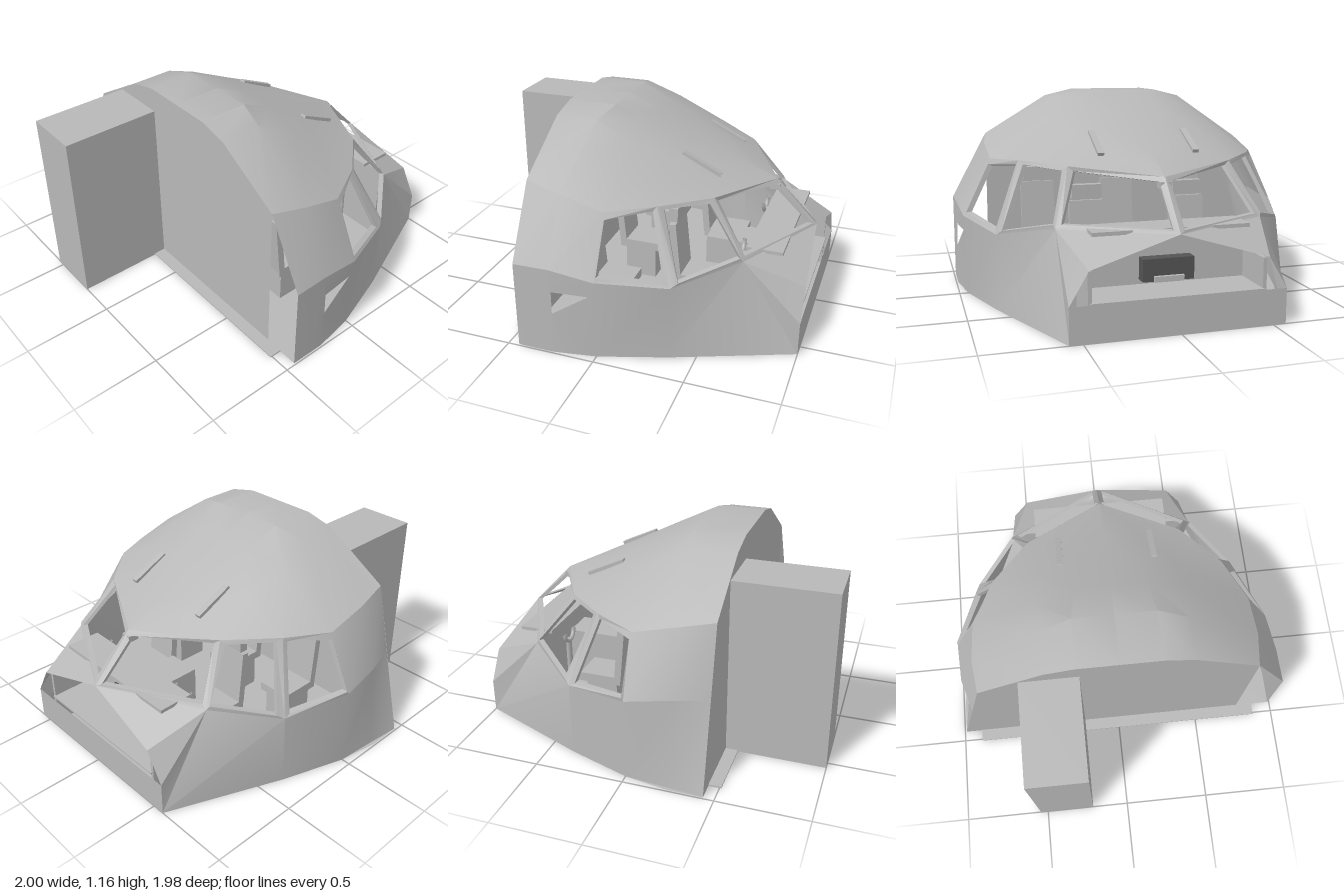
import * as THREE from 'three';
import { toCreasedNormals } from 'three/addons/utils/BufferGeometryUtils.js';

const mat = (name, color) => {
  const m = new THREE.MeshStandardMaterial({ color, side: THREE.DoubleSide });
  m.name = name;
  return m;
};

export function createModel() {
  const root = new THREE.Group();
  root.name = 'cockpitSection';
  const grey = mat('lightGrey', 0xb8b8b8);
  const dark = mat('darkGrey', 0x555555);

  const add = (name, geo, m = grey, parent = root) => {
    const mesh = new THREE.Mesh(geo, m);
    mesh.name = name;
    parent.add(mesh);
    return mesh;
  };
  const box = (name, x0, x1, y0, y1, z0, z1, m = grey, parent = root) => {
    const mesh = add(name, new THREE.BoxGeometry(x1 - x0, y1 - y0, z1 - z0), m, parent);
    mesh.position.set((x0 + x1) / 2, (y0 + y1) / 2, (z0 + z1) / 2);
    return mesh;
  };
  // surface from convex faces, corners counter-clockwise from outside
  const surface = (name, faces, crease = 0.45) => {
    const pos = [];
    for (const f of faces)
      for (let i = 1; i < f.length - 1; i++) pos.push(...f[0], ...f[i], ...f[i + 1]);
    const g = new THREE.BufferGeometry();
    g.setAttribute('position', new THREE.Float32BufferAttribute(pos, 3));
    g.computeVertexNormals();
    return add(name, toCreasedNormals(g, crease));
  };

  // skin rings for one half, rear to nose
  const base = [[-.44, 0, .99], [-.24, 0, .99], [0, 0, .95], [.36, 0, .83], [1, 0, .57]];
  const sill = [[-.44, .5, .99], [-.24, .5, .985], [0, .46, .965], [.365, .42, .825], [.68, .5, .565], [.97, .5, 0]];
  const brow = [[-.44, .89, .78], [-.24, .85, .81], [0, .785, .805], [.245, .8, .68], [.485, .79, .46], [.73, .75, 0]];
  const roof = [[-.44, 1.12, .4], [-.2, 1.12, .4], [0, 1.03, .44], [.2, .95, .38], [.4, .87, .25], [.73, .75, 0]];
  const crown = [[-.44, 1.16, .23], [-.16, 1.16, .23], [.05, 1.06, .2], [.25, .965, .15], [.45, .87, .1], [.73, .75, 0]];
  // window corners: bottom rear, bottom front, top front, top rear
  const windows = {
    2: [[.01, .48, .95], [.33, .435, .825], [.225, .775, .69], [.01, .75, .82]],
    3: [[.4, .445, .8], [.665, .52, .575], [.47, .765, .485], [.275, .78, .66]],
    4: [[.68, .52, .535], [.95, .515, .03], [.73, .725, .03], [.5, .765, .43]],
  };
  const inward = ([x, y, z]) => [x + (.1 - x) * .035, y + (.6 - y) * .035, z * .965];

  for (const s of [1, -1]) {
    const label = s > 0 ? 'Right' : 'Left';
    const orient = f => s > 0 ? f : f.map(([x, y, z]) => [x, y, -z]).reverse();
    const S = sill.map(p => [...p]), B = base.map(p => [...p]);
    if (s < 0) { // the far rear edge tapers straight upward
      S[0][2] = .87; S[1][2] = .93; S[2][2] = .95; B[1][2] = .97;
    }
    // lower side and nose hood
    const lower = [];
    for (let i = 0; i < 4; i++) {
      const [a, b, c, d] = [B[i], B[i + 1], S[i + 1], S[i]];
      if (i === 1 && s > 0) { // triangular cut-out
        const A = [-.23, .37, .985], E = [-.03, .37, .965], C = [-.23, .24, .987];
        lower.push([a, b, C], [b, E, C], [b, c, E], [c, A, E], [c, d, A], [d, a, C], [d, C, A]);
      } else lower.push([a, b, c, d]);
    }
    const n1 = [1, .19, .57], n2 = [1, .36, .47];
    lower.push([B[4], n1, S[4]], [n1, n2, S[4]], [n2, S[5], S[4]]);
    surface('lowerSkin' + label, lower.map(orient));

    // window band with open frames and their reveals
    const band = [], reveals = [];
    for (let i = 0; i < 5; i++) {
      const cell = [S[i], S[i + 1], brow[i + 1], brow[i]];
      const w = windows[i];
      if (!w) { band.push(cell); continue; }
      const v = w.map(inward);
      for (let k = 0; k < 4; k++) {
        const n = (k + 1) % 4;
        band.push([cell[k], cell[n], w[n], w[k]]);
        reveals.push([w[k], w[n], v[n], v[k]]);
      }
    }
    surface('windowBand' + label, band.map(orient));
    surface('windowReveals' + label, reveals.map(orient), 0.1);

    // upper shell
    const upper = [];
    for (let i = 0; i < 5; i++) {
      upper.push([brow[i], brow[i + 1], roof[i + 1], roof[i]], [roof[i], roof[i + 1], crown[i + 1], crown[i]]);
      const mid = p => [p[0], p[1], 0];
      upper.push([crown[i], crown[i + 1], mid(crown[i + 1]), mid(crown[i])]);
    }
    surface('roofSkin' + label, upper.map(orient));

    // small roof fitting
    const bar = add('roofFitting' + label, new THREE.BoxGeometry(.24, .02, .035));
    bar.position.set(.36, .895, s * .27);
    bar.rotation.z = -.44;
    // nose bay dividers
    box('noseDivider' + label, .72, .97, .005, .35, s * .46 - .01, s * .46 + .01);
  }

  // nose front, floor and rear ledge
  surface('noseFront', [[[1, 0, .57], [1, 0, -.57], [1, .19, -.57], [1, .19, .57]]]);
  const flip = base.map(([x, y, z]) => [x, y, -z]).reverse();
  surface('floor', [[...flip, ...base]]);
  box('rearLedge', -.51, -.44, 0, .008, -.89, .88);

  // rear bulkhead, open beyond the near edge
  surface('rearBulkhead', [[[-.44, 0, -.99], [-.44, 0, .78], [-.44, .89, .78], [-.44, 1.12, .4],
    [-.44, 1.16, .23], [-.44, 1.16, -.23], [-.44, 1.12, -.4], [-.44, .89, -.78]]]);

  // entry box, open underneath
  const entry = new THREE.BoxGeometry(.56, 1.02, .33);
  const idx = Array.from(entry.index.array);
  idx.splice(18, 6);
  entry.clearGroups();
  entry.setIndex(idx);
  add('entryBox', entry).position.set(-.72, .51, -.38);

  // instrument panel and nose bay
  box('panelWall', .7, .72, .005, .49, -.52, .52);
  box('glareshield', .66, .86, .49, .51, -.42, .42);
  box('noseShelf', .72, .98, .18, .19, -.46, .46);
  box('bayUnit', .73, .8, .22, .34, -.14, .14, dark);
  box('bayUnitTray', .8, .82, .22, .25, -.08, .08);
  box('pedestal', .35, .7, .005, .36, -.1, .1);
  box('compass', .69, .75, .69, .725, -.03, .03);

  // seats and control columns
  const seat = (name, x, z, top) => {
    const g = new THREE.Group();
    g.name = name;
    root.add(g);
    box('seatBase', x + .03, x + .22, .005, .2, z - .08, z + .08, grey, g);
    box('seatCushion', x, x + .25, .2, .25, z - .1, z + .1, grey, g);
    const back = box('seatBack', x - .02, x + .02, .23, top - .09, z - .1, z + .1, grey, g);
    back.rotation.z = .1;
    box('headrest', x - .04, x + .01, top - .08, top, z - .085, z + .085, grey, g);
  };
  for (const z of [.3, -.3]) {
    seat('pilotSeat', .25, z, .65);
    const col = add('controlColumn', new THREE.CylinderGeometry(.015, .015, .4, 8));
    col.position.set(.62, .21, z);
    const yoke = add('yoke', new THREE.TorusGeometry(.06, .012, 6, 12, Math.PI));
    yoke.position.set(.61, .46, z);
    yoke.rotation.set(Math.PI, Math.PI / 2, 0);
  }
  for (const z of [.5, 0, -.45]) seat('crewSeat', -.2, z, .7);

  return root;
}
